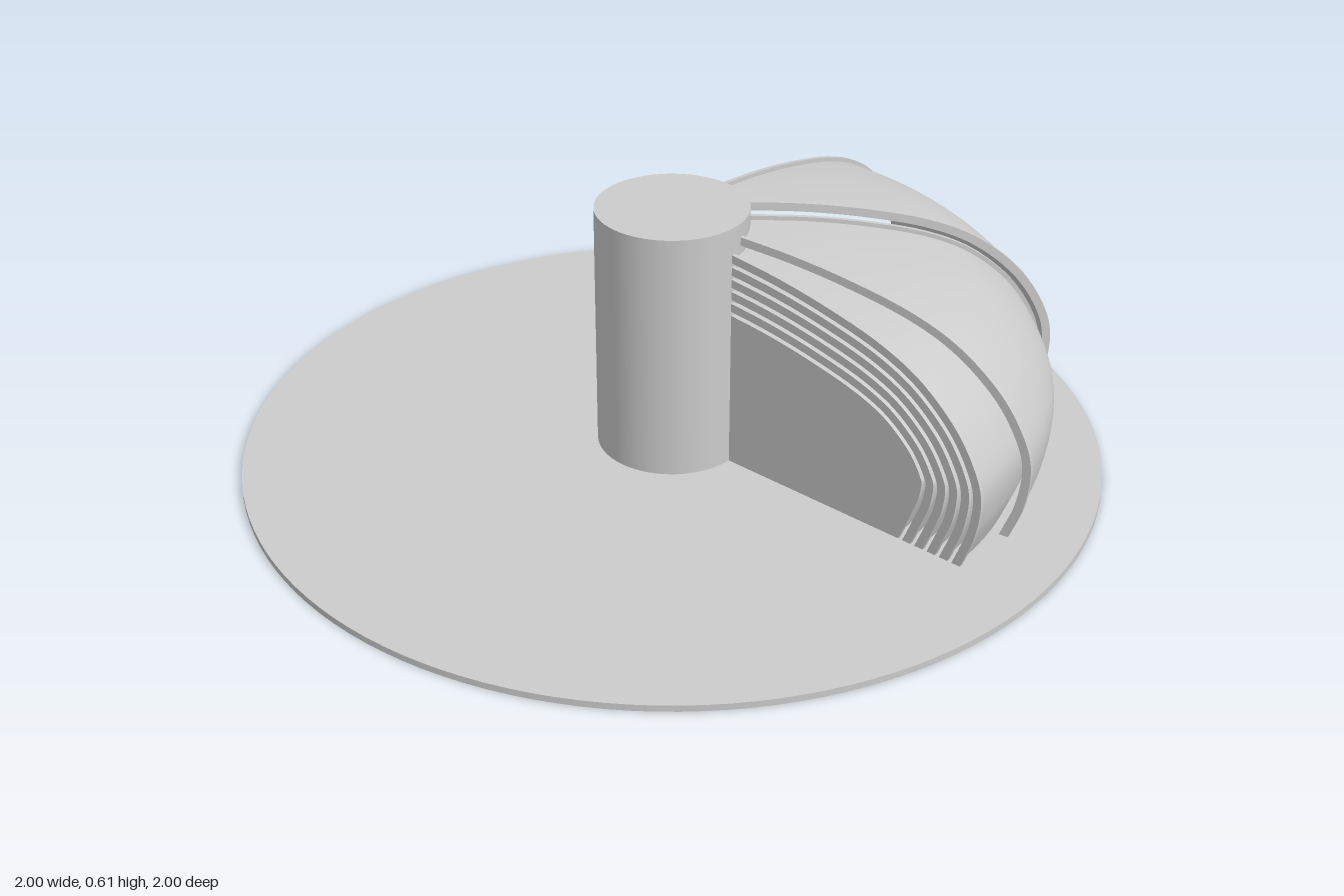
import * as THREE from 'three';

const BASE_H = 0.015;      // thickness of the ground disc
const PITCH = 0.03;        // spacing between nested shells
const WALL = 0.01;         // shell thickness
const LIP = 0.01;          // how far a lip stands proud of its shell
const LIP_DEPTH = 0.01;    // lip width along the sweep
const WIDTH = 40.4;        // degrees covered by one shell
const FLOOR = 0.006;       // profiles end just inside the disc

// Dome outline (radius, height) from below the floor up to the column
const outline = new THREE.SplineCurve([
  [0.835, -0.1], [0.878, 0.01], [0.907, 0.1], [0.915, 0.2], [0.89, 0.285], [0.825, 0.383],
  [0.72, 0.472], [0.6, 0.528], [0.45, 0.567], [0.3, 0.593], [0.14, 0.609],
].map(([x, y]) => new THREE.Vector2(x, y)));

// The outline moved inward by d, cut off at the floor
function profile(d) {
  const n = 64, pts = [];
  for (let i = 0; i <= n; i++) {
    const p = outline.getPoint(i / n), t = outline.getTangent(i / n);
    pts.push(new THREE.Vector2(p.x - t.y * d, p.y + t.x * d));
  }
  const first = pts.findIndex((p) => p.y > FLOOR);
  const kept = pts.slice(first);
  if (first > 0) {
    const a = pts[first - 1], b = pts[first];
    kept.unshift(a.clone().lerp(b, (FLOOR - a.y) / (b.y - a.y)));
  }
  return kept;
}

export function createModel() {
  const model = new THREE.Group();
  const material = new THREE.MeshStandardMaterial({ color: 0xcccccc, side: THREE.DoubleSide });
  const add = (parent, name, geometry) => {
    const mesh = new THREE.Mesh(geometry, material);
    mesh.name = name;
    parent.add(mesh);
    return mesh;
  };
  const plate = (points) => new THREE.ExtrudeGeometry(new THREE.Shape(points), {
    depth: LIP_DEPTH, bevelEnabled: false,
  });

  // Ground disc and central column
  add(model, 'baseDisc', new THREE.CylinderGeometry(1, 1, BASE_H, 128)).position.y = BASE_H / 2;
  add(model, 'column', new THREE.CylinderGeometry(0.175, 0.175, 0.6, 64)).position.y = 0.31;

  // A swept shell with a raised lip closing each end
  function addShell(index, startDeg) {
    const shell = new THREE.Group();
    shell.name = `domeShell${index + 1}`;
    const d = index * PITCH;
    const start = THREE.MathUtils.degToRad(startDeg);
    const sweep = THREE.MathUtils.degToRad(WIDTH);
    const inner = profile(d + LIP + WALL).reverse();
    const outer = profile(d + LIP);

    // Outer and inner skins
    add(shell, 'outerSkin', new THREE.LatheGeometry(outer, 40, start + Math.PI / 2, sweep));
    add(shell, 'innerSkin', new THREE.LatheGeometry(inner, 40, start + Math.PI / 2, sweep));

    // End lips
    const band = plate([...profile(d), ...inner]);
    add(shell, 'startLip', band.clone().translate(0, 0, -LIP_DEPTH)).rotation.y = start;
    add(shell, 'endLip', band).rotation.y = start + sweep;
    model.add(shell);
  }

  // Two shells are pulled out, the other six stay nested together
  [50.8, 11, 0, 0, 0, 0, 0, 0].forEach((deg, i) => addShell(i, deg));

  // Flat end wall below the innermost shell
  const edge = profile(7 * PITCH + LIP + WALL);
  const wall = plate([...edge, new THREE.Vector2(0.1, edge[edge.length - 1].y), new THREE.Vector2(0.1, FLOOR)]);
  add(model, 'endWall', wall.translate(0, 0, -LIP_DEPTH));

  return model;
}
